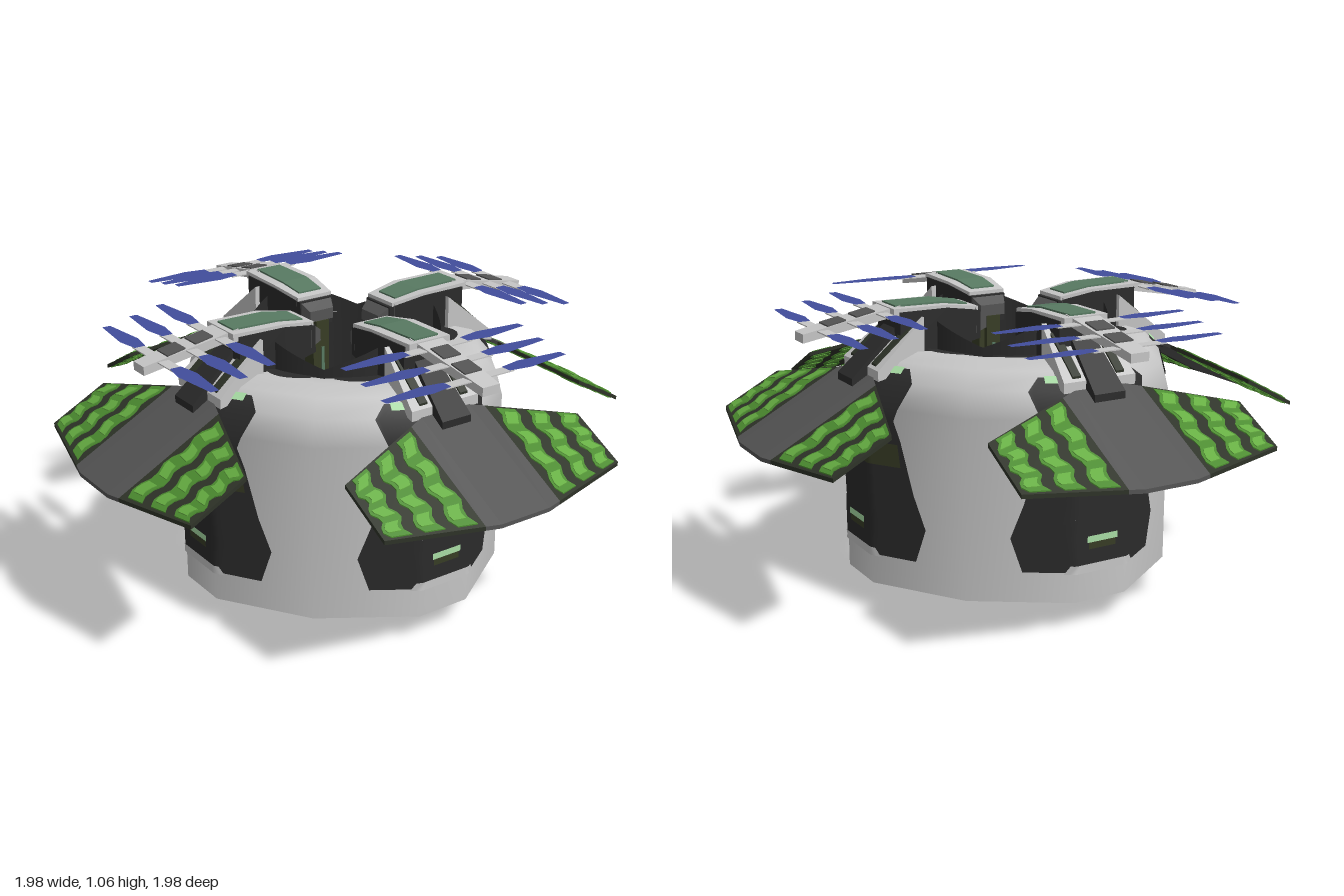
import * as THREE from 'three';
import { mergeVertices } from 'three/addons/utils/BufferGeometryUtils.js';

const mat = (name, color) => {
  const m = new THREE.MeshStandardMaterial({ color, side: THREE.DoubleSide });
  m.name = name;
  return m;
};

export function createModel() {
  const light = mat('light hull', 0xc6c6c6);
  const dark = mat('dark hull', 0x2b2b2b);
  const grey = mat('wing grey', 0x545454);
  const wingDark = mat('wing dark green', 0x2e3328);
  const green = mat('leaf green', 0x4c8c30);
  const brightGreen = mat('bright leaf green', 0x66ae42);
  const blue = mat('fin blue', 0x414d9c);
  const panelGreen = mat('panel green', 0x587a62);
  const olive = mat('olive', 0x373c25);
  const mint = mat('mint lamp', 0xa8dca4);

  const model = new THREE.Group();
  const add = (parent, name, geometry, material) => {
    const m = new THREE.Mesh(geometry, material);
    m.name = name;
    parent.add(m);
    return m;
  };
  const { lerp, degToRad } = THREE.MathUtils;

  // Box whose vertices are moved by a rule
  const warp = (rule, sz = 1) => {
    const g = new THREE.BoxGeometry(1, 1, 1, 1, 1, sz).toNonIndexed();
    const p = g.attributes.position;
    for (let i = 0; i < p.count; i++) p.setXYZ(i, ...rule(p.getX(i), p.getY(i) + 0.5, p.getZ(i) + 0.5));
    g.computeVertexNormals();
    return g;
  };
  // Tapered block along the arm: [distance, half width, bottom, top] at both ends, shifted sideways by dx
  const block = (s, e, dx = 0) => warp((x, y, t) => {
    const [a, w, lo, hi] = s.map((v, i) => lerp(v, e[i], t));
    return [dx + x * 2 * w, lo + (hi - lo) * y, a];
  });
  // Grid surface, u and v in 0..1, welded where it closes on itself
  const sheet = (nu, nv, fn) => {
    const pos = [], idx = [];
    for (let j = 0; j <= nv; j++) for (let i = 0; i <= nu; i++) pos.push(...fn(i / nu, j / nv));
    for (let j = 0; j < nv; j++) for (let i = 0; i < nu; i++) {
      const a = j * (nu + 1) + i, b = a + 1, c = a + nu + 1, d = c + 1;
      idx.push(a, b, d, a, d, c);
    }
    const g = new THREE.BufferGeometry();
    g.setAttribute('position', new THREE.Float32BufferAttribute(pos, 3));
    g.setIndex(idx);
    const welded = mergeVertices(g);
    welded.computeVertexNormals();
    return welded;
  };

  // Twelve-sided hull outline, wider on the diagonals; angle in degrees from a diagonal
  const corner = 9.4;
  const outline = (deg) => {
    const t = Math.abs(deg);
    if (t <= corner) return 0.62 * Math.cos(degToRad(corner)) / Math.cos(degToRad(t));
    const at = (r, d) => new THREE.Vector2(r * Math.cos(degToRad(d)), r * Math.sin(degToRad(d)));
    const p = at(0.62, corner), q = at(0.58, 45);
    return p.cross(q) / at(1, t).cross(q.clone().sub(p));
  };
  // Corner angles all the way round
  const ringAngle = (u) => {
    const s = Math.round(u * 12), k = Math.floor(s / 3);
    return k * 90 + [-45, -corner, corner][s % 3];
  };
  const ringPoint = (u, r, y) => {
    const d = ringAngle(u), t = degToRad(d + 45);
    const R = r * outline(d - Math.round(d / 90) * 90) / 0.58;
    return [R * Math.sin(t), y, R * Math.cos(t)];
  };

  // Ring-shaped hull shell, open below
  const profile = [[0.58, 0.1], [0.58, 0.74], [0.555, 0.83], [0.5, 0.885], [0.43, 0.91], [0.36, 0.9]];
  const radiusAt = (y) => {
    for (let i = 0; i < 3; i++) {
      const [r0, y0] = profile[i], [r1, y1] = profile[i + 1];
      if (y <= y1) return lerp(r0, r1, (y - y0) / (y1 - y0));
    }
    return 0.5;
  };
  add(model, 'hull', sheet(12, 5, (u, v) => ringPoint(u, ...profile[Math.round(v * 5)])), light);

  // Patch lying on the hull: rows of [y, centre angle, half angle] in degrees
  const patch = (rows, lift) => sheet(32, rows.length - 1, (u, v) => {
    const [y, c, h] = rows[Math.round(v * (rows.length - 1))];
    const d = c + (u * 2 - 1) * h, t = degToRad(d);
    const r = radiusAt(y) * outline(d) / 0.58 + lift;
    return [r * Math.sin(t), y, r * Math.cos(t)];
  });

  // Point on the sloping, drooping wing
  const wingPoint = (a, b, off) => [b, 0.83 - 0.53 * (a - 0.6) - 0.06 * Math.abs(b) + off, a];
  const wingIn = (b) => lerp(0.59, 0.71, Math.max(0, (Math.abs(b) - 0.1) / 0.39));
  const wingOut = (b) => lerp(1.0, 0.91, Math.max(0, (Math.abs(b) - 0.1) / 0.4));
  const wingPiece = (b0, b1) => warp((x, y, t) => {
    const b = lerp(b0, b1, x + 0.5);
    return wingPoint(lerp(wingIn(b), wingOut(b), t), b, (y - 0.5) * 0.014);
  });
  // Wavy stripe on both faces of the wing, between fractions k0 and k1 of its depth
  const stripe = (b, half, thick, k0, k1, n) => warp((x, y, t) => {
    const k = lerp(k0, k1, t), bb = b + x * 2 * half + 0.012 * Math.sin(k * 20);
    return wingPoint(lerp(wingIn(bb), wingOut(bb), k), bb, (y - 0.5) * thick);
  }, n);

  // Flat tapered fin lying across the arm
  const finShape = (s) => new THREE.ShapeGeometry(new THREE.Shape([
    [0.12, -0.02], [0.2, -0.034], [0.37, -0.015], [0.37, 0.015], [0.2, 0.034], [0.12, 0.02],
  ].map(([x, y]) => new THREE.Vector2(x * s, y)))).rotateX(-Math.PI / 2);

  for (let k = 0; k < 4; k++) {
    const q = new THREE.Group();
    q.name = 'quarter';
    q.rotation.y = Math.PI / 4 + k * Math.PI / 2;
    model.add(q);

    // Inner lining that rises towards each arm
    add(q, 'innerLining', sheet(16, 1, (u, v) => {
      const t = (u * 2 - 1) * Math.PI / 4;
      const y = v ? 0.93 + 0.11 * (1 - Math.abs(u * 2 - 1)) : 0.5;
      return [0.355 * Math.sin(t), y, 0.355 * Math.cos(t)];
    }), dark);
    // Scalloped dark rim
    for (const s of [-1, 1]) add(q, 'rimPatch', sheet(8, 1, (u, v) => {
      const t = s * degToRad(lerp(12, 39, u));
      const r = v ? 0.357 : 0.385 + 0.04 * Math.sin(u * Math.PI);
      return [r * Math.sin(t), 0.906 + (r - 0.36) * 0.143, r * Math.cos(t)];
    }), dark);

    // Hull camouflage and olive band, outside and inside the shell
    for (const s of [-1, 1]) {
      add(q, 'hullPatch', patch([[0.21, 0, 26], [0.33, 0, 30], [0.45, 0, 25.5], [0.63, 0, 21],
        [0.7, 0, 18.5], [0.74, 0, 20], [0.83, 0, 24], [0.87, 0, 20]], s * 0.005), dark);
      add(q, 'bottomNotch', patch([[0.205, 0, 13], [0.235, 0, 11]], s * 0.008), light);
      add(q, 'oliveBand', patch([[0.54, 0, 21], [0.62, 0, 20]], s * 0.008), olive);
    }
    // Lamps
    add(q, 'lamp', patch([[0.312, 0, 5.5], [0.335, 0, 5.5]], 0.01), mint);
    add(q, 'lampShade', patch([[0.288, 0, 5], [0.312, 0, 5]], 0.009), olive);
    for (const s of [-1, 1]) add(q, 'domeLamp', patch([[0.855, s * 14, 4], [0.875, s * 14, 4]], 0.01), mint);

    // Arm
    add(q, 'armCore', block([0.16, 0.07, 0.92, 1.02], [0.3, 0.095, 0.9, 1.045]), dark);
    add(q, 'armCore', block([0.3, 0.095, 0.9, 1.045], [0.48, 0.09, 0.9, 1.045]), dark);
    add(q, 'armTip', block([0.125, 0.05, 0.95, 0.99], [0.18, 0.074, 0.94, 1.03]), grey);
    add(q, 'armTop', block([0.17, 0.072, 1.02, 1.035], [0.3, 0.09, 1.04, 1.055]), light);
    add(q, 'armTop', block([0.3, 0.09, 1.03, 1.055], [0.5, 0.085, 1.03, 1.058]), light);
    add(q, 'armPanel', block([0.2, 0.048, 1.03, 1.045], [0.3, 0.054, 1.045, 1.061]), panelGreen);
    add(q, 'armPanel', block([0.3, 0.054, 1.045, 1.061], [0.48, 0.05, 1.045, 1.064]), panelGreen);
    // Brace from the arm down to the wing
    add(q, 'brace', block([0.4, 0.11, 0.86, 1.025], [0.59, 0.14, 0.83, 0.865]), light);
    add(q, 'braceNeck', block([0.48, 0.045, 0.88, 0.985], [0.65, 0.06, 0.79, 0.83]), dark);
    for (const s of [-1, 1])
      add(q, 'braceSlit', block([0.44, 0.016, 0.9, 1.0], [0.58, 0.016, 0.84, 0.881], s * 0.085), wingDark);

    // Hub with three rows of fins
    const hubTop = (a) => 1.062 - (a - 0.46) * 0.19;
    add(q, 'hub', block([0.46, 0.055, 1.03, hubTop(0.46)], [0.81, 0.035, 0.965, hubTop(0.81)]), light);
    for (const a of [0.582, 0.688])
      add(q, 'hubPlate', block([a - 0.034, 0.036, hubTop(a) - 0.01, hubTop(a - 0.034) + 0.005],
        [a + 0.034, 0.036, hubTop(a) - 0.02, hubTop(a + 0.034) + 0.005]), grey);
    for (const a of [0.53, 0.635, 0.74]) {
      const y = hubTop(a) - 0.01;
      add(q, 'finStrut', block([a - 0.02, 0.14, y, y + 0.004], [a + 0.02, 0.14, y, y + 0.004]), light);
      for (const s of [-1, 1]) add(q, 'fin', finShape(s), blue).position.set(0, y + 0.006, a);
    }

    // Wing
    add(q, 'wingCentre', wingPiece(-0.1, 0.1), grey);
    for (const s of [-1, 1]) {
      add(q, 'wingShoulder', wingPiece(...(s > 0 ? [0.1, 0.155] : [-0.155, -0.1])), grey);
      add(q, 'wingPanel', wingPiece(...(s > 0 ? [0.155, 0.49] : [-0.49, -0.155])), wingDark);
      for (const b of [0.215, 0.325, 0.435]) {
        add(q, 'wingStripe', stripe(s * b, 0.034, 0.022, 0.03, 0.97, 12), green);
        for (let i = 0; i < 4; i++)
          add(q, 'stripeBlob', stripe(s * b, 0.022, 0.028, 0.08 + i * 0.23, 0.22 + i * 0.23, 3), brightGreen);
      }
    }

    // Hanging post
    add(q, 'post', new THREE.BoxGeometry(0.055, 0.95, 0.02).translate(0, 0.475, 0.13), olive);
    for (const z of [0.118, 0.142])
      add(q, 'postStripe', new THREE.BoxGeometry(0.012, 0.7, 0.004).translate(0, 0.5, z), panelGreen);
  }
  return model;
}
